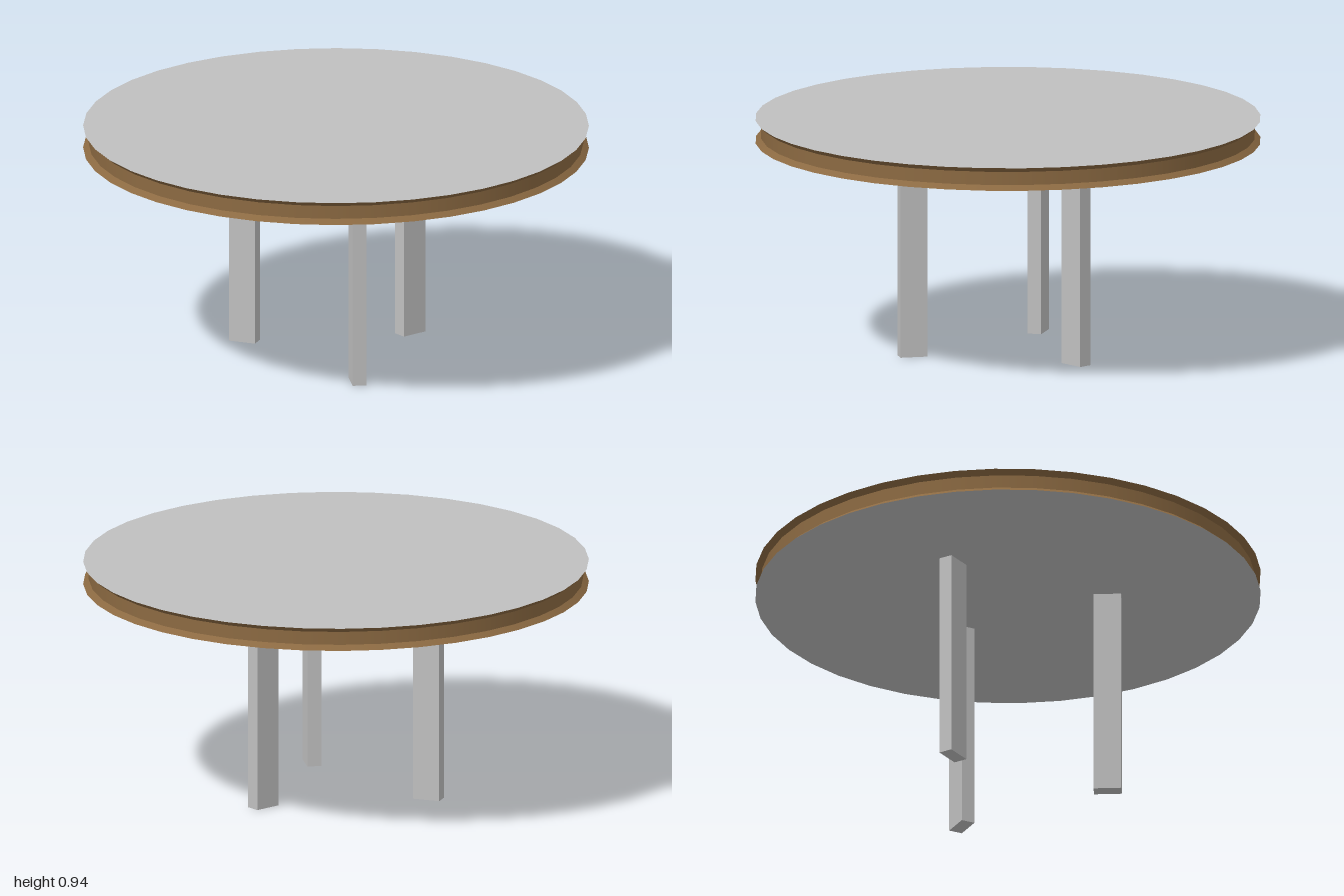
import * as THREE from 'three';

export function createModel() {
  const grey = new THREE.MeshStandardMaterial({ color: 0xc0c0c0 });
  grey.name = 'grey';
  const brown = new THREE.MeshStandardMaterial({ color: 0x8c6a42 });
  brown.name = 'brown';

  const SIDES = 40;
  const TOP = 0.938, UNDER = 0.847;
  const table = new THREE.Group();
  table.name = 'roundTable';

  const add = (name, geometry, material, parent = table) => {
    const mesh = new THREE.Mesh(geometry, material);
    mesh.name = name;
    parent.add(mesh);
    return mesh;
  };

  // Flat round faces of the table top; a quarter turn puts a corner on the x axis
  const upper = add('topSurface', new THREE.CircleGeometry(1, SIDES), grey);
  upper.rotation.x = -Math.PI / 2;
  upper.position.y = TOP;
  const lower = add('underside', new THREE.CircleGeometry(1, SIDES), grey);
  lower.rotation.x = Math.PI / 2;
  lower.position.y = UNDER;

  // Grooved rim: one open band per profile step, so the steps stay crisp
  const rim = new THREE.Group();
  rim.name = 'rim';
  table.add(rim);
  const profile = [[1, UNDER], [0.978, 0.866], [0.978, 0.919], [1, TOP]];
  for (let i = 0; i < profile.length - 1; i++) {
    const [r0, y0] = profile[i], [r1, y1] = profile[i + 1];
    const band = add('rimBand', new THREE.CylinderGeometry(r1, r0, y1 - y0, SIDES, 1, true), brown, rim);
    band.position.y = (y0 + y1) / 2;
  }

  // Three rectangular legs, each with its long side pointing outwards
  const legs = [
    ['rightLeg', -0.389, 0.035, 174],
    ['frontLeg', 0.252, 0.303, 54],
    ['backLeg', 0.148, -0.355, -66],
  ];
  for (const [name, x, z, degrees] of legs) {
    const leg = add(name, new THREE.BoxGeometry(0.11, UNDER, 0.056), grey);
    leg.position.set(x, UNDER / 2, z);
    leg.rotation.y = -THREE.MathUtils.degToRad(degrees);
  }

  return table;
}
